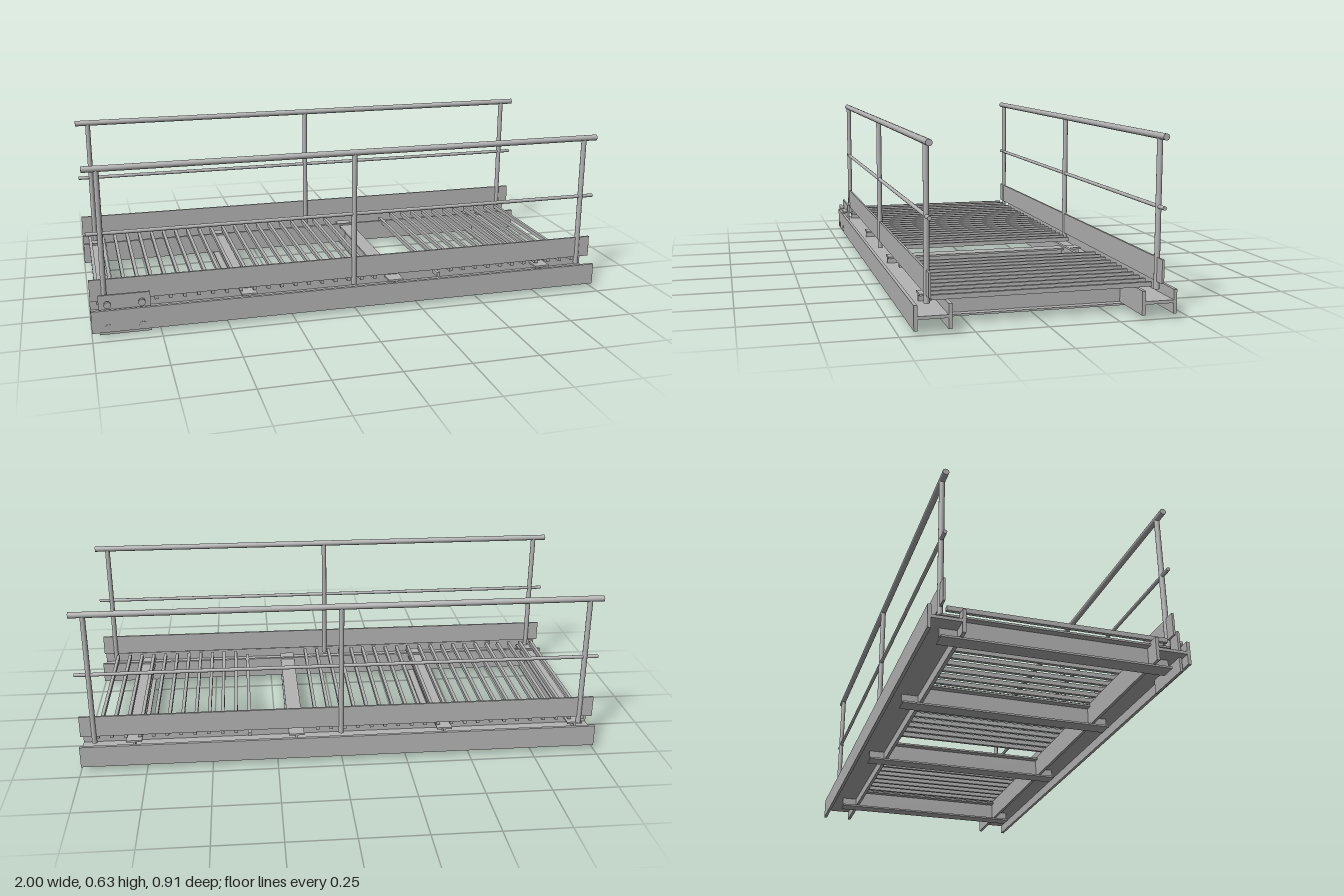
import * as THREE from 'three';

export function createModel() {
  const model = new THREE.Group();
  const steel = new THREE.MeshStandardMaterial({ color: 0xb4b4b4 });
  steel.name = 'steel grey';

  const add = (parent, name, geometry) => {
    const mesh = new THREE.Mesh(geometry, steel);
    mesh.name = name;
    parent.add(mesh);
    return mesh;
  };
  // Box given by its limits on each axis
  const box = (parent, name, x0, x1, y0, y1, z0, z1) => {
    const mesh = add(parent, name, new THREE.BoxGeometry(x1 - x0, y1 - y0, z1 - z0));
    mesh.position.set((x0 + x1) / 2, (y0 + y1) / 2, (z0 + z1) / 2);
    return mesh;
  };
  // Closed I outline, centred, with flanges at top and bottom
  const iShape = (width, height, flange, web) => {
    const w = width / 2, h = height / 2, t = web / 2, f = h - flange;
    return new THREE.Shape([
      [-w, -h], [w, -h], [w, -f], [t, -f], [t, f], [w, f],
      [w, h], [-w, h], [-w, f], [-t, f], [-t, -f], [-w, -f],
    ].map(([x, y]) => new THREE.Vector2(x, y)));
  };
  const extrude = (shape, depth) => {
    const g = new THREE.ExtrudeGeometry(shape, { depth, bevelEnabled: false });
    return g.translate(0, 0, -depth / 2);
  };

  // Side girders: I sections lying on their side, flanges upright
  for (const side of [1, -1]) {
    const g = extrude(iShape(0.084, 0.126, 0.012, 0.011), 2);
    g.rotateZ(Math.PI / 2);          // flanges face sideways
    // swap the section's x axis to z and the extrusion to x
    g.rotateY(Math.PI / 2);
    add(model, 'sideGirder', g).position.set(0, 0.058, side * 0.39);
  }

  // Cross beams under the deck
  for (const x of [-0.935, -0.41, 0.174, 0.8]) {
    add(model, 'crossBeam', extrude(iShape(0.06, 0.083, 0.007, 0.008), 0.8))
      .position.set(x, 0.0515, 0);
  }

  // Deck bars, with an open bay
  const deck = new THREE.Group();
  deck.name = 'deckBars';
  model.add(deck);
  for (let i = 0; i <= 36; i++) {
    if (i > 20 && i < 25) continue;
    const x = -0.97 + i * 0.053;
    const y = i === 25 ? 0.083 : 0.1;  // the bar at the bay edge sits lower
    box(deck, 'deckBar', x - 0.0065, x + 0.0065, y, y + 0.0165, -0.385, 0.385);
  }

  // Railings with toe boards
  for (const side of [1, -1]) {
    const railing = new THREE.Group();
    railing.name = side > 0 ? 'frontRailing' : 'backRailing';
    railing.position.z = side * 0.4;
    model.add(railing);
    const rail = (name, y, radius) => {
      const mesh = add(railing, name, new THREE.CylinderGeometry(radius, radius, 2, 20));
      mesh.rotation.z = Math.PI / 2;
      mesh.position.y = y;
    };
    rail('handrail', 0.616, 0.0115);
    rail('midRail', 0.377, 0.007);
    for (const x of [-0.948, 0, 0.948]) {
      add(railing, 'post', new THREE.CylinderGeometry(0.01, 0.01, 0.524, 20))
        .position.set(x, 0.354, 0);
    }
    box(railing, 'toeBoard', -1, 1, 0.12, 0.203, -0.004, 0.004);
  }

  // Bolted mounting plate on the front girder
  const mount = new THREE.Group();
  mount.name = 'mountingPlate';
  model.add(mount);
  box(mount, 'plate', -0.972, -0.784, 0, 0.152, 0.425, 0.434);
  for (const x of [-0.94, -0.816]) {
    for (const y of [0.12, 0.034]) {
      const shank = add(mount, 'boltShank', new THREE.CylinderGeometry(0.008, 0.008, 0.014, 16));
      shank.rotation.x = Math.PI / 2;
      shank.position.set(x, y, 0.44);
      const head = add(mount, 'boltHead', new THREE.CylinderGeometry(0.013, 0.013, 0.012, 16));
      head.rotation.x = Math.PI / 2;
      head.position.set(x, y, 0.449);
    }
  }
  return model;
}
